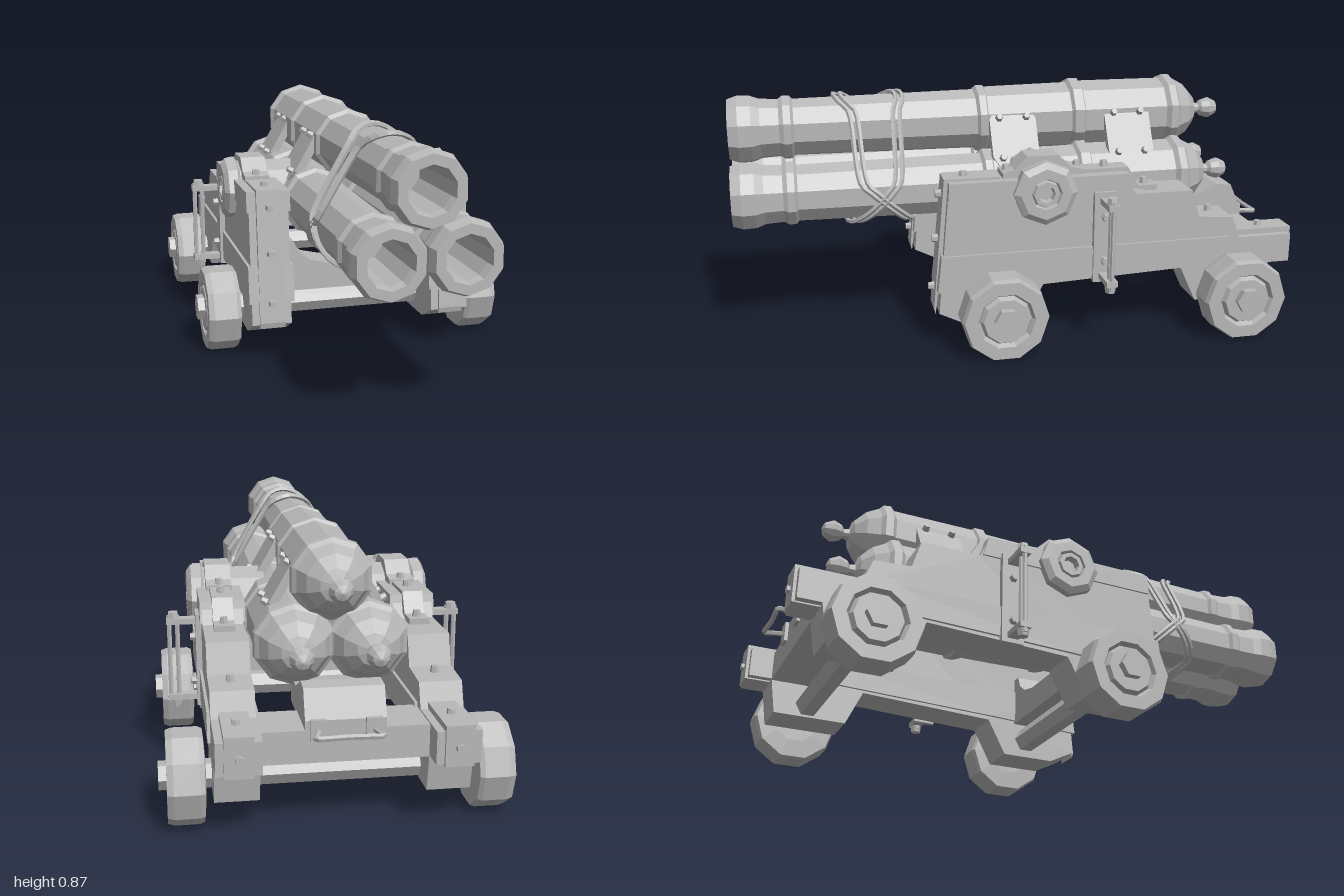
import * as THREE from 'three';

const iron = new THREE.MeshStandardMaterial({ color: 0xb8b8b8, flatShading: true });
iron.name = 'plain grey';

const v2 = (pts) => pts.map(([a, b]) => new THREE.Vector2(a, b));

export function createModel() {
  const root = new THREE.Group();
  root.name = 'tripleCannon';

  const add = (name, geo, x = 0, y = 0, z = 0, parent = root) => {
    const m = new THREE.Mesh(geo, iron);
    m.name = name;
    m.position.set(x, y, z);
    parent.add(m);
    return m;
  };
  // box given by its limits
  const box = (name, x0, x1, y0, y1, z0, z1) =>
    add(name, new THREE.BoxGeometry(x1 - x0, y1 - y0, z1 - z0), (x0 + x1) / 2, (y0 + y1) / 2, (z0 + z1) / 2);
  // side profile of [z, y] points, extruded from x0 to x1
  const slab = (name, pts, x0, x1) => {
    const g = new THREE.ExtrudeGeometry(new THREE.Shape(v2(pts.map(([z, y]) => [-z, y]))), { depth: x1 - x0, bevelEnabled: false });
    return add(name, g.rotateY(Math.PI / 2), x0);
  };
  // the same slab on both sides, limits given for the left side
  const slabs = (name, pts, x0, x1) => { slab(name, pts, x0, x1); slab(name, pts, -x1, -x0); };
  const boxes = (name, x0, x1, ...r) => { box(name, x0, x1, ...r); box(name, -x1, -x0, ...r); };
  // turned part whose axis points outwards along x
  const turnedX = (name, pts, sides, s, y, z) =>
    add(name, new THREE.LatheGeometry(v2(pts), sides).rotateZ(-s * Math.PI / 2), 0, y, z);
  // hexagonal bolt head along an axis
  const bolt = (x, y, z, axis, r = 0.016) => {
    const g = new THREE.CylinderGeometry(r * 0.8, r, 0.022, 6);
    if (axis === 'z') g.rotateX(Math.PI / 2);
    if (axis === 'x') g.rotateZ(-Math.sign(x) * Math.PI / 2);
    add('bolt', g, x, y, z);
  };

  // Barrels: [radius, z] from the rear knob to the bore bottom
  const barrel = [
    [0, -0.835], [0.025, -0.825], [0.04, -0.795], [0.03, -0.765], [0.018, -0.755], [0.022, -0.735],
    [0.055, -0.725], [0.095, -0.69], [0.12, -0.645], [0.135, -0.632], [0.138, -0.605], [0.124, -0.59],
    [0.126, -0.275], [0.136, -0.27], [0.136, -0.235], [0.122, -0.225], [0.118, 0.085], [0.124, 0.09],
    [0.124, 0.115], [0.11, 0.125], [0.103, 0.775], [0.115, 0.785], [0.115, 0.81], [0.104, 0.825],
    [0.108, 0.89], [0.12, 0.92], [0.122, 0.965], [0.11, 1], [0.078, 1], [0.072, 0.97], [0.07, 0.7], [0, 0.7]];
  const centres = [[0, 0.735], [-0.12, 0.525], [0.12, 0.525]];
  for (const [x, y] of centres)
    add('barrel', new THREE.LatheGeometry(v2(barrel), 10).rotateX(Math.PI / 2), x, y);

  // Clamps joining the upper barrel to the lower pair
  for (const z of [0, -0.43]) for (const s of [-1, 1]) {
    const clamp = new THREE.Group();
    clamp.name = 'barrelClamp';
    clamp.position.set(s * 0.148, 0.69, z);
    clamp.rotation.z = s * -Math.PI / 3;
    root.add(clamp);
    const shape = new THREE.Shape(v2([[-0.11, -0.06], [-0.07, -0.085], [0.07, -0.085], [0.11, -0.06], [0.11, 0.06], [0.07, 0.085], [-0.07, 0.085], [-0.11, 0.06]]));
    const g = new THREE.ExtrudeGeometry(shape, { depth: 0.03, bevelEnabled: false }).rotateX(-Math.PI / 2);
    add('clampPlate', g, 0, -0.022, 0, clamp);
    for (const a of [-0.075, 0.075]) for (const b of [-0.05, 0.05])
      add('clampBolt', new THREE.CylinderGeometry(0.011, 0.015, 0.024, 6), a, 0.016, b, clamp);
  }
  box('lowerClamp', -0.1, 0.1, 0.395, 0.43, -0.08, 0.08);
  box('lowerClamp', -0.1, 0.1, 0.395, 0.43, -0.51, -0.35);

  // Ropes lashed slantwise round the three barrels
  const rope = (amp, phase, shift) => {
    const pts = [];
    for (let i = 0; i < 24; i++) {
      const t = (i + 0.5) / 24 * Math.PI * 2, c = Math.cos(t), s = Math.sin(t);
      const [x, y] = centres.reduce((a, b) => (b[0] * c + b[1] * s > a[0] * c + a[1] * s ? b : a));
      pts.push(new THREE.Vector3(x + 0.113 * c, y + 0.113 * s, 0.5 + shift + amp * Math.sin(t + phase)));
    }
    add('rope', new THREE.TubeGeometry(new THREE.CatmullRomCurve3(pts, true), 60, 0.009, 5, true));
  };
  for (const d of [-0.012, 0.012]) {
    rope(0.12, 0, d);
    rope(-0.1, 0.35, d);
  }

  // Carriage cheeks with stepped tops and axle brackets
  const cheek = [
    [0.32, 0.14], [0.22, 0.09], [0.02, 0.09], [-0.05, 0.22], [-0.56, 0.24], [-0.62, 0.11], [-0.88, 0.11],
    [-0.9, 0.235], [-0.98, 0.235], [-0.98, 0.34], [-0.78, 0.34], [-0.75, 0.42], [-0.62, 0.43], [-0.59, 0.53],
    [-0.38, 0.53], [-0.35, 0.6], [0.28, 0.6]];
  slabs('cheek', cheek, 0.26, 0.4);
  slabs('lowerBoard', [[0.325, 0.22], [0.31, 0.35], [-0.74, 0.35], [-0.76, 0.255], [-0.05, 0.235]], 0.25, 0.41);
  slabs('topMoulding', [[0.285, 0.535], [0.28, 0.607], [-0.352, 0.607], [-0.37, 0.535]], 0.253, 0.407);
  slabs('frontStrap', [[0.33, 0.13], [0.335, 0.15], [0.293, 0.615], [0.1, 0.615], [0.1, 0.6], [0.27, 0.6]], 0.285, 0.375);
  slabs('stepStrap', [[-0.2, 0.62], [-0.36, 0.62], [-0.4, 0.55], [-0.47, 0.55], [-0.47, 0.52], [-0.2, 0.59]], 0.295, 0.365);
  boxes('rearStrap', 0.285, 0.375, 0.23, 0.36, -0.99, -0.76);
  for (const s of [-1, 1]) {
    for (const [y, z] of [[0.22, 0.337], [0.395, 0.321], [0.555, 0.307]]) bolt(s * 0.33, y, z, 'z');
    for (const [y, z] of [[0.62, 0.22], [0.63, -0.28], [0.56, -0.43], [0.44, -0.68], [0.365, -0.88]]) bolt(s * 0.33, y, z, 'y');
    const back = new THREE.CylinderGeometry(0.016, 0.013, 0.022, 6).rotateX(Math.PI / 2);
    add('rearBolt', back, s * 0.33, 0.25 + 0.04, -0.99);
  }

  // Trunnions and the caps that hold them
  for (const s of [-1, 1])
    turnedX('trunnion', [[0.1, 0.16], [0.1, 0.38], [0.112, 0.39], [0.112, 0.425], [0.09, 0.44], [0.055, 0.44], [0.05, 0.425],
      [0.045, 0.44], [0.03, 0.44], [0.026, 0.415], [0, 0.415]], 8, s, 0.56, -0.05);
  slabs('trunnionCap', [[0.09, 0.6], [0.09, 0.625], [0.05, 0.635], [0.005, 0.68], [-0.105, 0.68], [-0.15, 0.635], [-0.2, 0.625], [-0.2, 0.6]], 0.285, 0.375);
  for (const s of [-1, 1]) for (const z of [0.07, -0.18]) bolt(s * 0.33, 0.635, z, 'y');

  // Axles and wheels
  for (const z of [0.11, -0.76]) {
    const axle = new THREE.CylinderGeometry(0.046, 0.046, 1.13, 6).rotateZ(Math.PI / 2);
    add('axle', axle, 0, 0.158, z);
    for (const s of [-1, 1])
      turnedX('wheel', [[0, 0.42], [0.08, 0.42], [0.145, 0.425], [0.152, 0.44], [0.152, 0.52], [0.145, 0.54],
        [0.1, 0.54], [0.09, 0.522], [0.08, 0.54], [0, 0.54]], 10, s, 0.152, z);
  }

  // Front cross piece with a hollowed top
  const hollow = new THREE.Shape(v2([[-0.27, 0.22], [0.27, 0.22], [0.27, 0.405], [0.225, 0.405], [0.205, 0.36], [0.165, 0.33],
    [0.1, 0.315], [-0.1, 0.315], [-0.165, 0.33], [-0.205, 0.36], [-0.225, 0.405], [-0.27, 0.405]]));
  add('frontTransom', new THREE.ExtrudeGeometry(hollow, { depth: 0.14, bevelEnabled: false }), 0, 0, 0.06);

  // Rear bed, wedge and pull handle
  box('rearBed', -0.38, 0.38, 0.23, 0.335, -0.9, -0.72);
  slab('wedge', [[-0.58, 0.32], [-0.9, 0.32], [-0.9, 0.365], [-0.86, 0.455], [-0.8, 0.46], [-0.7, 0.41], [-0.58, 0.4]], -0.125, 0.125);
  const handle = new THREE.CatmullRomCurve3([[-0.085, -0.89], [-0.09, -0.93], [-0.105, -0.975], [0, -0.97], [0.105, -0.975], [0.09, -0.93], [0.085, -0.89]]
    .map(([x, z]) => new THREE.Vector3(x, 0.335, z)), false, 'catmullrom', 0.1);
  add('handle', new THREE.TubeGeometry(handle, 24, 0.009, 5));
  boxes('handlePlate', 0.06, 0.11, 0.3, 0.37, -0.912, -0.89);

  // Side lever brackets: mounting plate, arms and upright rods
  for (const s of [-1, 1]) {
    const at = (x0, x1, ...r) => (s > 0 ? box('sideBracket', x0, x1, ...r) : box('sideBracket', -x1, -x0, ...r));
    at(0.4, 0.42, 0.22, 0.55, -0.305, -0.225);
    at(0.41, 0.52, 0.51, 0.53, -0.285, -0.245);
    at(0.41, 0.52, 0.235, 0.255, -0.285, -0.245);
    for (const x of [0.482, 0.51])
      add('sideRod', new THREE.CylinderGeometry(0.009, 0.009, 0.32, 6), s * x, 0.38, -0.265);
    add('rodCap', new THREE.CylinderGeometry(0.018, 0.022, 0.025, 6), s * 0.496, 0.54, -0.265);
    add('rodFoot', new THREE.CylinderGeometry(0.022, 0.018, 0.025, 6), s * 0.496, 0.222, -0.265);
    for (const y of [0.3, 0.46]) bolt(s * 0.428, y, -0.265, 'x');
  }
  return root;
}
